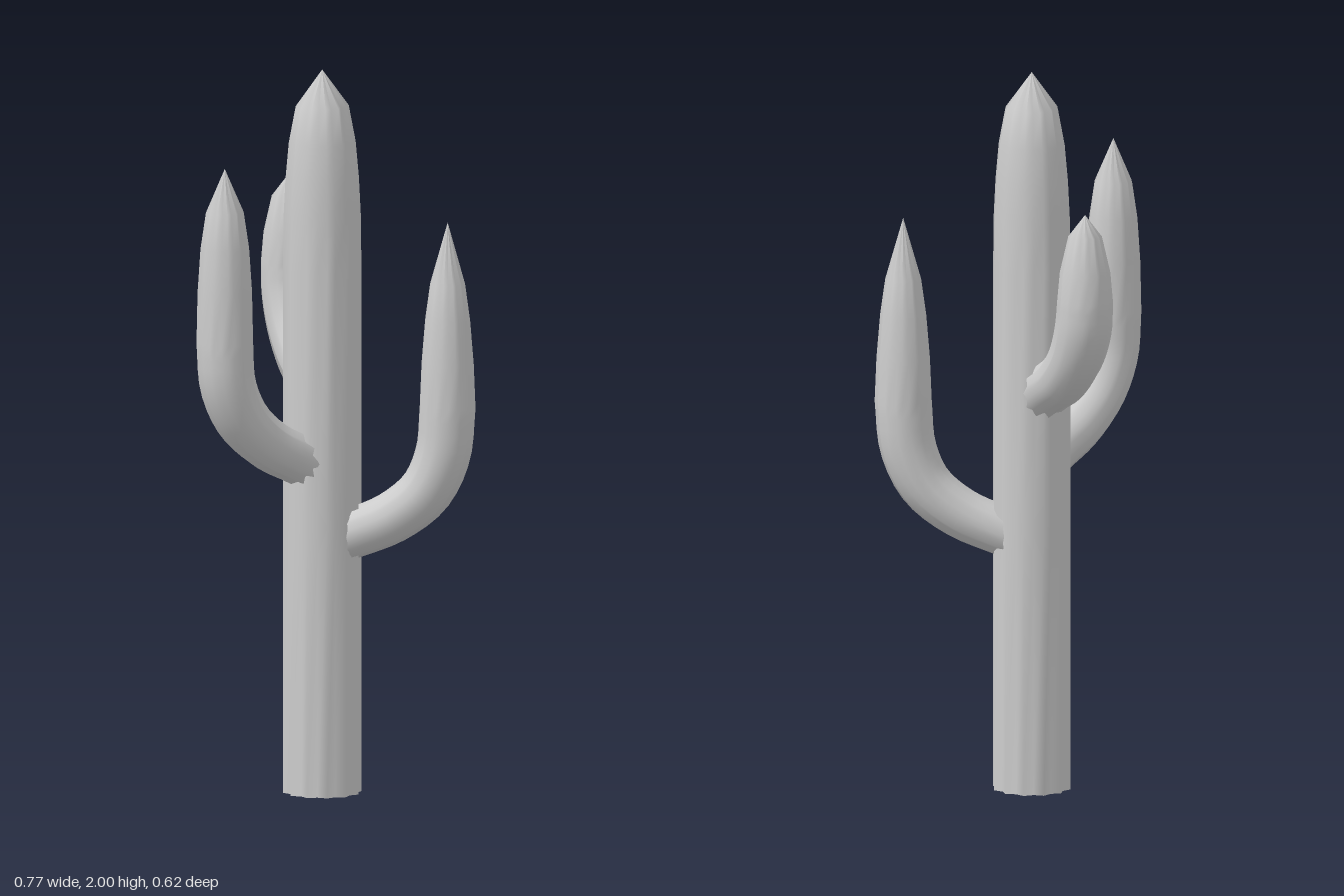
import * as THREE from 'three';

const RIBS = 12;
const VALLEY = 0.87; // valley radius relative to rib radius

// Sweep a ribbed star section along rows of [distance from axis, height, radius].
function ribbedStem(rows) {
  const sides = RIBS * 2, pos = [], index = [];
  rows.forEach(([d, y, r], i) => {
    const a = rows[Math.max(i - 1, 0)], b = rows[Math.min(i + 1, rows.length - 1)];
    const len = Math.hypot(b[0] - a[0], b[1] - a[1]);
    const tx = (b[0] - a[0]) / len, ty = (b[1] - a[1]) / len;
    for (let j = 0; j < sides; j++) {
      const t = (j / sides) * Math.PI * 2, s = r * (j % 2 ? VALLEY : 1);
      pos.push(d + ty * s * Math.cos(t), y - tx * s * Math.cos(t), s * Math.sin(t));
      if (i < rows.length - 1) {
        const k = (j + 1) % sides, p = i * sides + j, q = i * sides + k;
        index.push(p, p + sides, q, q, p + sides, q + sides);
      }
    }
  });
  const geo = new THREE.BufferGeometry();
  geo.setAttribute('position', new THREE.Float32BufferAttribute(pos, 3));
  geo.setIndex(index);
  geo.computeVertexNormals();
  return geo;
}

// Smooth the elbow, then add the straight tapering rows of the tip.
function armRows(bend, tip) {
  const curve = new THREE.CatmullRomCurve3(bend.map(p => new THREE.Vector3(...p)));
  return [...curve.getPoints(18).map(v => v.toArray()), ...tip];
}

export function createModel() {
  const group = new THREE.Group();
  group.name = 'cactus';
  const skin = new THREE.MeshStandardMaterial({ color: 0xcccccc, side: THREE.DoubleSide });
  skin.name = 'pale grey';

  const add = (name, rows, degrees) => {
    const mesh = new THREE.Mesh(ribbedStem(rows), skin);
    mesh.name = name;
    mesh.position.set(-0.02, 0, 0.063);
    mesh.rotation.y = -THREE.MathUtils.degToRad(degrees);
    group.add(mesh);
  };

  // Upright trunk, open at the bottom
  add('trunk', [
    [0, 0, 0.108], [0, 0.75, 0.108], [0, 1.45, 0.108], [0, 1.6, 0.106],
    [0, 1.7, 0.101], [0, 1.8, 0.092], [0, 1.9, 0.073], [0, 2, 0],
  ], 0);

  // Three arms that leave the trunk and turn upward
  add('leftArm', armRows(
    [[0.03, 0.7, 0.068], [0.1, 0.725, 0.069], [0.2, 0.77, 0.071], [0.29, 0.845, 0.074], [0.338, 0.95, 0.077], [0.351, 1.08, 0.078]],
    [[0.351, 1.2, 0.073], [0.351, 1.32, 0.063], [0.351, 1.42, 0.049], [0.351, 1.59, 0]],
  ), 20);
  add('rightArm', armRows(
    [[0.03, 0.905, 0.071], [0.1, 0.94, 0.072], [0.19, 0.985, 0.073], [0.275, 1.06, 0.075], [0.325, 1.16, 0.077], [0.336, 1.28, 0.078]],
    [[0.336, 1.42, 0.075], [0.336, 1.54, 0.067], [0.336, 1.64, 0.052], [0.336, 1.76, 0]],
  ), 149.5);
  add('backArm', armRows(
    [[0.03, 1.095, 0.07], [0.1, 1.135, 0.071], [0.18, 1.18, 0.073], [0.255, 1.255, 0.076], [0.295, 1.34, 0.078], [0.305, 1.42, 0.076]],
    [[0.305, 1.5, 0.069], [0.305, 1.6, 0.046], [0.305, 1.66, 0]],
  ), 259.5);

  return group;
}
